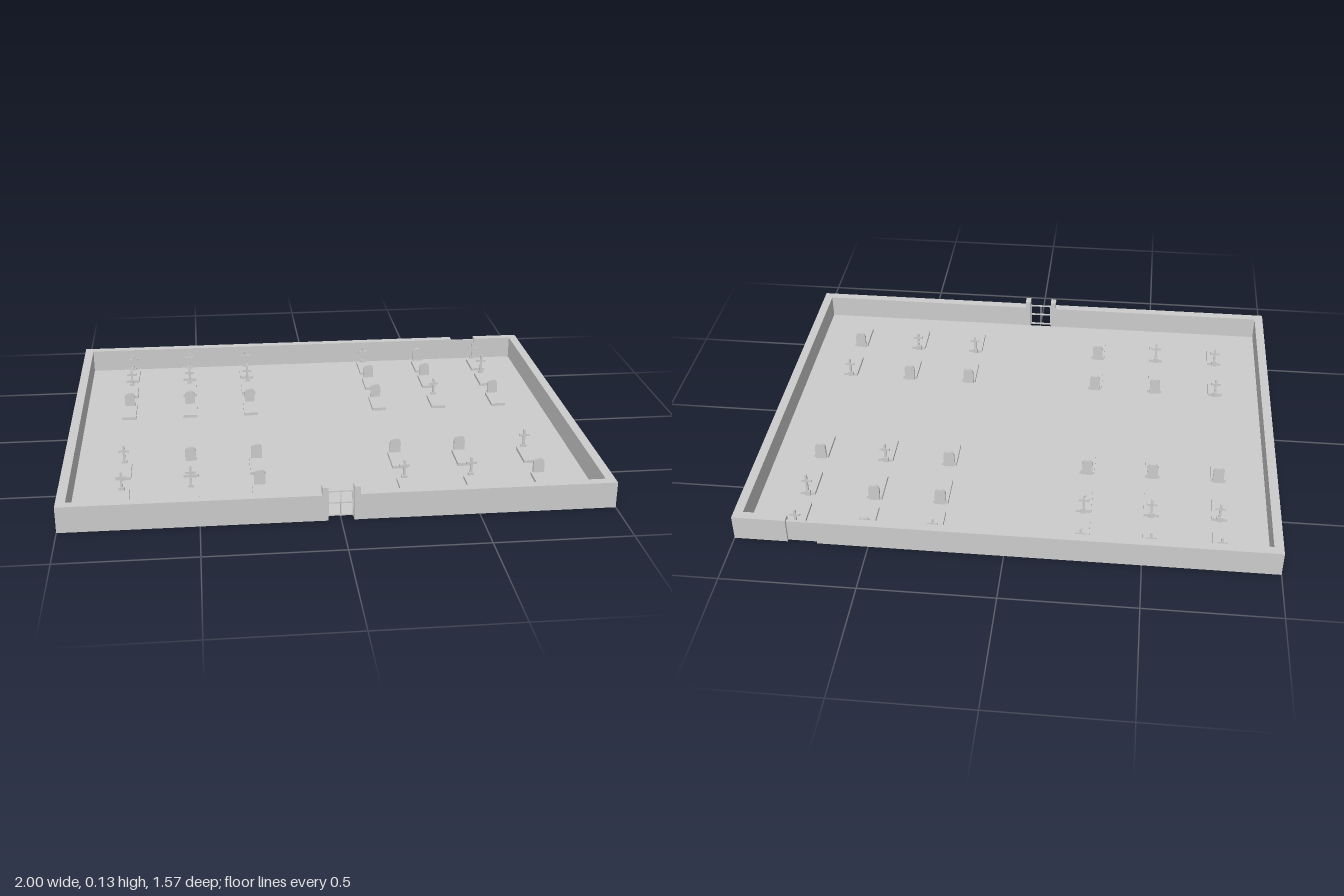
import * as THREE from 'three';

const stone = new THREE.MeshStandardMaterial({ color: 0xcccccc });
stone.name = 'paleGrey';

const GROUND = 0.006;

function box(parent, name, w, h, d, x, y, z) { // y is the underside
  const mesh = new THREE.Mesh(new THREE.BoxGeometry(w, h, d), stone);
  mesh.name = name;
  mesh.position.set(x, y + h / 2, z);
  parent.add(mesh);
  return mesh;
}

// round-topped headstone outline
function headstoneGeometry(w, h, d) {
  const r = w / 2;
  const shape = new THREE.Shape();
  shape.moveTo(-r, 0);
  shape.lineTo(r, 0);
  shape.lineTo(r, h - r);
  shape.absarc(0, h - r, r, 0, Math.PI, false);
  shape.closePath();
  const geo = new THREE.ExtrudeGeometry(shape, { depth: d, bevelEnabled: false, curveSegments: 8 });
  return geo.translate(0, 0, -d / 2);
}

function makeCross(h) {
  const cross = new THREE.Group();
  cross.name = 'graveCross';
  box(cross, 'crossFoot', 0.022, 0.022, 0.012, 0, 0, 0);
  box(cross, 'crossUpright', 0.009, h, 0.008, 0, 0, 0);
  box(cross, 'crossArm', 0.04, 0.009, 0.008, 0, h * 0.68, 0);
  return cross;
}

export function createModel() {
  const model = new THREE.Group();
  model.name = 'graveyard';

  box(model, 'ground', 1.93, GROUND, 1.5, 0, 0, 0);

  // perimeter walls with an opening at the front and one at the back
  const walls = new THREE.Group();
  walls.name = 'walls';
  model.add(walls);
  const T = 0.035, H = 0.1, Z = 0.785 - T / 2;
  const wallX = (x0, x1, z) => box(walls, 'wall', x1 - x0, H, T, (x0 + x1) / 2, 0, z);
  wallX(-1, -0.048, Z);
  wallX(0.048, 1, Z);
  wallX(-1, 0.69, -Z);
  wallX(0.8, 1, -Z);
  for (const s of [-1, 1]) box(walls, 'sideWall', T, H, 1.5, s * (1 - T / 2), 0, 0);

  // front gate: tall posts, open rails and bars
  const gate = new THREE.Group();
  gate.name = 'frontGate';
  model.add(gate);
  for (const s of [-1, 1]) box(gate, 'gatePost', 0.022, 0.13, 0.037, s * 0.057, 0, 0.767);
  for (const y of [0.008, 0.057, 0.102]) box(gate, 'gateRail', 0.094, 0.005, 0.006, 0, y, 0.763);
  for (const x of [-0.044, 0, 0.044]) box(gate, 'gateBar', 0.004, 0.1, 0.005, x, 0.006, 0.763);

  // solid rear door set inside its opening
  box(model, 'rearDoor', 0.11, 0.09, 0.01, 0.745, 0, -0.77);

  // graves: c = cross, t = tall cross, s = rounded stone
  const columns = [-0.785, -0.53, -0.275, 0.27, 0.525, 0.785];
  const rows = [
    [-0.71, 'ccccsc'],
    [-0.525, 'cccsst'],
    [-0.295, 'sssscs'],
    [0.275, 'cssssc'],
    [0.505, 'ctsccs'],
  ];
  const headstone = headstoneGeometry(0.042, 0.07, 0.012);
  for (const [z, kinds] of rows) {
    columns.forEach((x, i) => {
      const grave = new THREE.Group();
      grave.name = 'grave';
      grave.position.set(x, GROUND, z);
      box(grave, 'graveSlab', 0.058, 0.012, 0.128, 0, 0, 0.064);
      if (kinds[i] === 's') {
        const mesh = new THREE.Mesh(headstone, stone);
        mesh.name = 'headstone';
        grave.add(mesh);
      } else {
        grave.add(makeCross(kinds[i] === 't' ? 0.098 : 0.085));
      }
      model.add(grave);
    });
  }
  return model;
}
